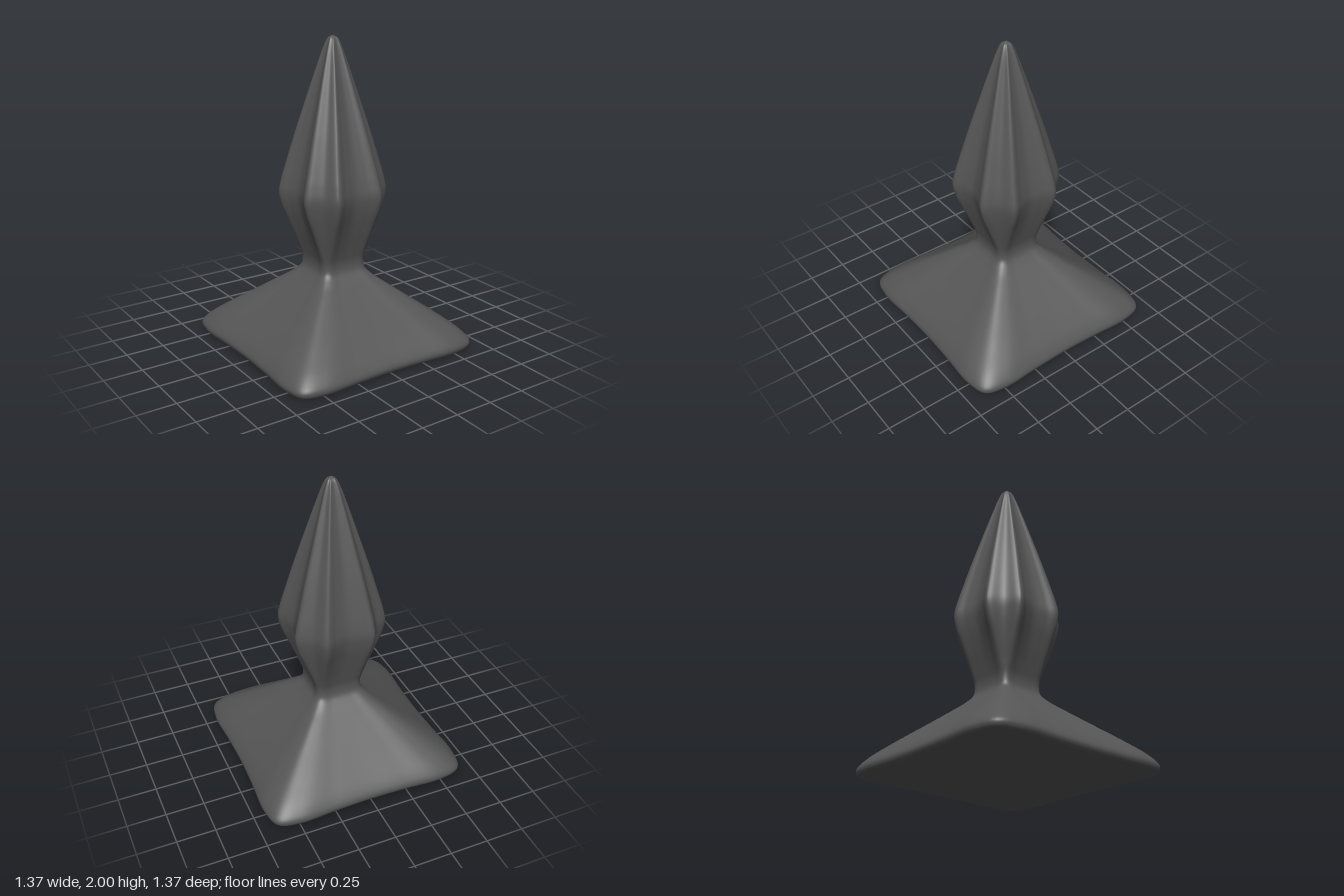
import * as THREE from 'three';

// Stations from bottom to top: height, lobe reach, lobe offset, face middle, diagonal (both axes)
const STATIONS = [
  [0.0, 0.64, 0.48, 0.625, 0.60],
  [0.012, 0.67, 0.5, 0.652, 0.632],
  [0.045, 0.68, 0.5, 0.664, 0.64],
  [0.1, 0.645, 0.475, 0.63, 0.605],
  [0.2, 0.53, 0.385, 0.52, 0.495],
  [0.3, 0.4, 0.295, 0.395, 0.375],
  [0.4, 0.272, 0.205, 0.27, 0.255],
  [0.46, 0.2, 0.15, 0.2, 0.185],
  [0.51, 0.16, 0.122, 0.16, 0.147],
  [0.57, 0.155, 0.118, 0.153, 0.142],
  [0.65, 0.178, 0.127, 0.17, 0.155],
  [0.8, 0.237, 0.143, 0.212, 0.185],
  [0.93, 0.288, 0.154, 0.246, 0.207],
  [1.02, 0.305, 0.158, 0.259, 0.215],
  [1.1, 0.292, 0.152, 0.25, 0.207],
  [1.2, 0.266, 0.139, 0.23, 0.19],
  [1.4, 0.212, 0.11, 0.184, 0.152],
  [1.6, 0.153, 0.08, 0.134, 0.11],
  [1.8, 0.093, 0.048, 0.082, 0.067],
  [1.95, 0.044, 0.023, 0.04, 0.033],
  [1.985, 0.026, 0.014, 0.025, 0.019],
  [2.0, 0.002, 0.001, 0.002, 0.0015],
];
const SIDES = 160, ROWS = 126;

// Key points of one cross-section, a quarter repeated four times
function keyPoints([y, a, b, m, d]) {
  const q = m + (a - m) * 0.4;
  const quarter = [[m, 0], [q, b / 2], [a, b], [d, d], [b, a], [b / 2, q]];
  const points = [];
  for (let k = 0; k < 4; k++) {
    for (const [x, z] of quarter) {
      const [px, pz] = [[x, z], [-z, x], [-x, -z], [z, -x]][k];
      points.push(new THREE.Vector3(px, y, pz));
    }
  }
  return points;
}

function makeRings() {
  const keys = STATIONS.map(keyPoints);
  const rails = keys[0].map((_, i) => new THREE.CatmullRomCurve3(keys.map((ring) => ring[i])));
  const rings = [];
  for (let j = 0; j <= ROWS; j++) {
    const section = new THREE.CatmullRomCurve3(rails.map((rail) => rail.getPoint(j / ROWS)), true);
    const ring = [];
    for (let i = 0; i < SIDES; i++) ring.push(section.getPoint(i / SIDES));
    rings.push(ring);
  }
  return rings;
}

function geometryFrom(points, index) {
  const geometry = new THREE.BufferGeometry().setFromPoints(points);
  geometry.setIndex(index);
  geometry.computeVertexNormals();
  return geometry;
}

export function createModel() {
  const group = new THREE.Group();
  group.name = 'flutedFinial';
  const darkGrey = new THREE.MeshStandardMaterial({ color: 0x555555 });
  darkGrey.name = 'darkGrey';
  const rings = makeRings();

  // Smooth skin: square flared foot, narrow neck and eight-lobed pointed bulb
  const index = [];
  for (let j = 0; j < ROWS; j++) {
    for (let i = 0; i < SIDES; i++) {
      const a = j * SIDES + i, b = j * SIDES + ((i + 1) % SIDES);
      index.push(a, a + SIDES, b, b, a + SIDES, b + SIDES);
    }
  }
  const body = new THREE.Mesh(geometryFrom(rings.flat(), index), darkGrey);
  body.name = 'flutedBody';

  // Flat underside
  const fan = [];
  for (let i = 0; i < SIDES; i++) fan.push(SIDES, i, (i + 1) % SIDES);
  const underside = new THREE.Mesh(geometryFrom([...rings[0], new THREE.Vector3()], fan), darkGrey);
  underside.name = 'underside';

  group.add(body, underside);
  return group;
}
